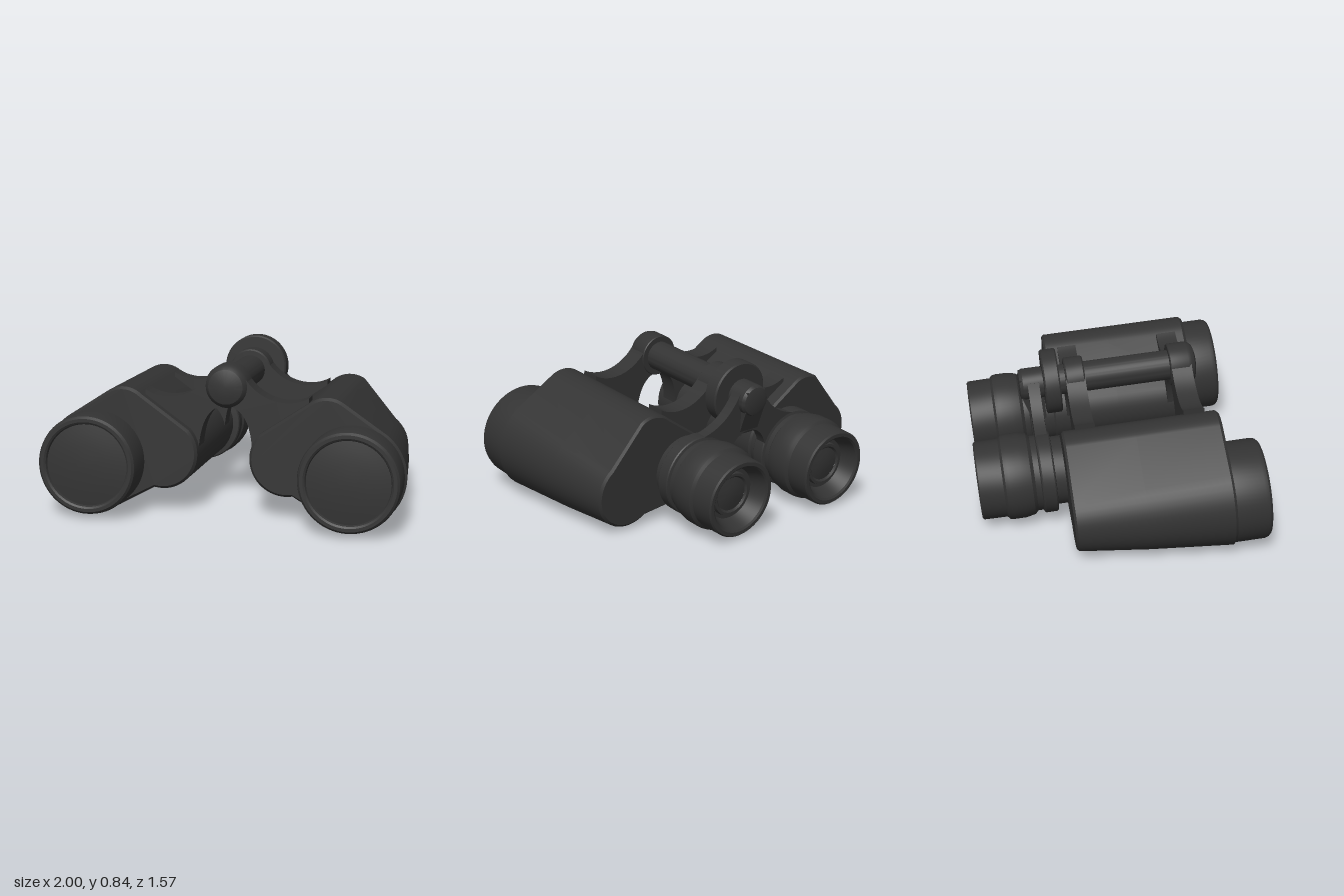
import * as THREE from 'three';
import { toCreasedNormals } from 'three/addons/utils/BufferGeometryUtils.js';

const material = new THREE.MeshStandardMaterial({ color: 0x333333 });
const HINGE_Y = 0.377;
const OBJECTIVE = [0.715, -0.055];
const EYEPIECE = [0.345, 0];

function add(parent, name, geometry, x = 0, y = 0, z = 0) {
  const mesh = new THREE.Mesh(geometry, material);
  mesh.name = name;
  mesh.position.set(x, y, z);
  parent.add(mesh);
  return mesh;
}

// Turned part along z; profile is [radius, z], listed from back to front
function turned(profile, segments = 64) {
  const points = profile.map(([r, z]) => new THREE.Vector2(r, z));
  const geometry = new THREE.LatheGeometry(points, segments).rotateX(Math.PI / 2);
  return toCreasedNormals(geometry, 0.5);
}

// Solid disc or rod with small bevels
function rod(r, z0, z1, b = 0.008) {
  return turned([[0, z0], [r - b, z0], [r, z0 + b], [r, z1 - b], [r - b, z1], [0, z1]]);
}

function arc([cx, cy], r, from, to, steps) {
  return Array.from({ length: steps + 1 }, (_, i) => {
    const a = THREE.MathUtils.degToRad(from + (to - from) * i / steps);
    return new THREE.Vector2(cx + r * Math.cos(a), cy + r * Math.sin(a));
  });
}

// Prism housing outline: objective side, top hump, eyepiece side
function section(r, inset) {
  return [
    ...arc(OBJECTIVE, r - inset, -125, 52, 24),
    ...arc([0.565, 0.2], 0.156 - inset, 58, 132, 12),
    ...arc(EYEPIECE, 0.2 - inset, 138, 282, 20),
  ];
}

// Housing lofted between outlines, tapering to the back
function housingGeometry() {
  const rings = [[-0.29, 0.2, 0.012], [-0.278, 0.202, 0], [0.1, 0.246, 0], [0.552, 0.286, 0], [0.568, 0.286, 0.014]];
  const outlines = rings.map(([, r, inset]) => section(r, inset));
  const n = outlines[0].length;
  const positions = [];
  const index = [];
  outlines.forEach((o, k) => o.forEach((p) => positions.push(p.x, p.y, rings[k][0])));
  for (let k = 0; k < rings.length - 1; k++) {
    for (let i = 0; i < n; i++) {
      const a = k * n + i, b = k * n + (i + 1) % n;
      index.push(a, b, b + n, a, b + n, a + n);
    }
  }
  const last = (rings.length - 1) * n;
  for (const [a, b, c] of THREE.ShapeUtils.triangulateShape(outlines[0], [])) index.push(a, c, b);
  for (const [a, b, c] of THREE.ShapeUtils.triangulateShape(outlines[rings.length - 1], [])) {
    index.push(last + a, last + b, last + c);
  }
  const geometry = new THREE.BufferGeometry();
  geometry.setAttribute('position', new THREE.Float32BufferAttribute(positions, 3));
  geometry.setIndex(index);
  return toCreasedNormals(geometry, 0.6);
}

function plate(shape, z0, z1) {
  const geometry = new THREE.ExtrudeGeometry(shape, { depth: z1 - z0, bevelEnabled: false, curveSegments: 20 });
  return toCreasedNormals(geometry.translate(0, 0, z0), 0.5);
}

// Saddle-shaped arm from the hinge to the housing
function bridgeArm() {
  const s = new THREE.Shape();
  s.moveTo(0, 0.27);
  s.bezierCurveTo(0.08, 0.27, 0.14, 0.2, 0.15, 0.02);
  s.lineTo(0.35, 0.05);
  s.lineTo(0.455, 0.2);
  s.lineTo(0.455, 0.338);
  s.bezierCurveTo(0.36, 0.28, 0.2, 0.29, 0.1, 0.43);
  s.lineTo(0, 0.43);
  return s;
}

// Arm from the focus spindle to the eyepiece collar
function eyepieceArm() {
  const s = new THREE.Shape();
  s.moveTo(0, 0.19);
  s.bezierCurveTo(0.07, 0.19, 0.12, 0.14, 0.14, 0.05);
  s.lineTo(0.345, 0);
  s.lineTo(0.42, 0.205);
  s.bezierCurveTo(0.28, 0.23, 0.17, 0.25, 0.08, 0.42);
  s.lineTo(0, 0.42);
  return s;
}

function createHalf(name) {
  const half = new THREE.Group();
  half.name = name;
  add(half, 'prismHousing', housingGeometry());

  // Objective barrel with a rounded lip and a shallow domed lens
  add(half, 'objectiveBarrel', turned([
    [0.27, 0.5], [0.275, 0.58], [0.275, 0.725], [0.27, 0.745], [0.258, 0.757],
    [0.24, 0.757], [0.23, 0.75], [0.225, 0.735],
  ]), ...OBJECTIVE);
  add(half, 'objectiveLens', turned([
    [0.228, 0.735], [0.17, 0.743], [0.11, 0.748], [0.05, 0.751], [0, 0.752],
  ]), ...OBJECTIVE);

  // Eyepiece with funnel eyecup, focus ring and collar
  add(half, 'eyepiece', turned([
    [0.095, -0.69], [0.105, -0.7], [0.12, -0.7], [0.125, -0.68], [0.145, -0.68],
    [0.18, -0.765], [0.19, -0.773], [0.21, -0.773], [0.218, -0.765],
    [0.22, -0.635], [0.235, -0.622], [0.239, -0.6], [0.239, -0.53], [0.228, -0.478],
    [0.21, -0.46], [0.21, -0.43], [0.224, -0.425], [0.228, -0.418], [0.228, -0.355],
    [0.222, -0.348], [0.19, -0.345], [0.19, -0.25],
  ]), ...EYEPIECE);
  add(half, 'eyepieceLens', turned([[0, -0.7], [0.05, -0.697], [0.097, -0.688]]), ...EYEPIECE);

  // Bridge arms and eyepiece arm
  add(half, 'frontBridgeArm', plate(bridgeArm(), 0.39, 0.505));
  add(half, 'rearBridgeArm', plate(bridgeArm(), -0.21, -0.1));
  add(half, 'eyepieceArm', plate(eyepieceArm(), -0.425, -0.36));

  // Strap lug under the housing
  const lug = new THREE.Group();
  lug.name = 'strapLug';
  const bar = add(lug, 'lugBar', new THREE.BoxGeometry(0.25, 0.018, 0.06), 0.485, -0.256, -0.11);
  bar.rotation.z = -0.2;
  add(lug, 'lugInnerLeg', new THREE.BoxGeometry(0.03, 0.07, 0.06), 0.38, -0.205, -0.11);
  add(lug, 'lugOuterLeg', new THREE.BoxGeometry(0.03, 0.07, 0.06), 0.592, -0.243, -0.11);
  half.add(lug);
  return half;
}

export function createModel() {
  const model = new THREE.Group();
  model.name = 'binoculars';
  const body = new THREE.Group();
  body.name = 'tiltedBody';
  body.position.y = 0.3;
  body.rotation.x = -0.08;
  model.add(body);

  const left = createHalf('leftHalf');
  const right = createHalf('rightHalf');
  right.scale.x = -1;
  body.add(left, right);

  // Hinge shaft, front cap, rear knuckle and focus wheel
  const hinge = new THREE.Group();
  hinge.name = 'hinge';
  hinge.position.y = HINGE_Y;
  body.add(hinge);
  add(hinge, 'hingeShaft', rod(0.085, -0.36, 0.42));
  add(hinge, 'frontCap', turned([
    [0, 0.385], [0.116, 0.385], [0.12, 0.39], [0.12, 0.49], [0.113, 0.51],
    [0.095, 0.528], [0.06, 0.538], [0, 0.542],
  ]));
  add(hinge, 'rearKnuckle', rod(0.12, -0.21, -0.1));
  add(hinge, 'focusWheel', rod(0.182, -0.335, -0.245));

  // Spindle hub with a wedge running down into the eyepiece arms
  add(hinge, 'spindleHub', turned([
    [0, -0.475], [0.06, -0.474], [0.08, -0.468], [0.09, -0.45], [0.09, -0.34], [0, -0.34],
  ]));
  const wedge = new THREE.Shape([[0.34, 0.06], [0.34, -0.2], [0.42, -0.2], [0.468, -0.04], [0.468, 0.06]]
    .map(([z, y]) => new THREE.Vector2(z, y)));
  const wedgeGeometry = new THREE.ExtrudeGeometry(wedge, { depth: 0.13, bevelEnabled: false });
  wedgeGeometry.translate(0, 0, -0.065).rotateY(Math.PI / 2);
  add(hinge, 'hubWedge', wedgeGeometry);

  return model;
}
